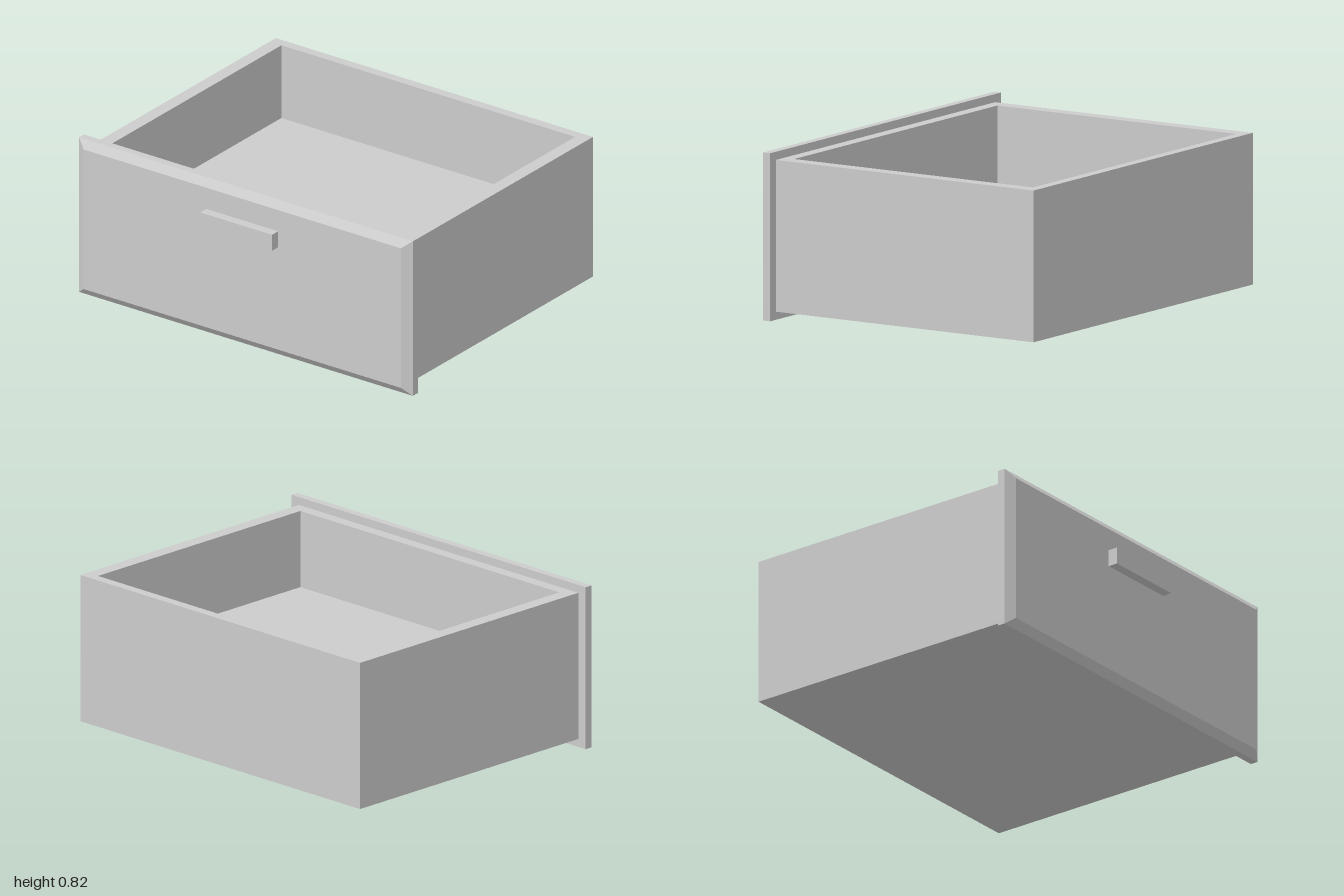
import * as THREE from 'three';

const material = new THREE.MeshStandardMaterial({ color: 0xcccccc, flatShading: true });

function addPart(group, name, geometry) {
  const mesh = new THREE.Mesh(geometry, material);
  mesh.name = name;
  group.add(mesh);
}

// Box given by its lower and upper limits on each axis
function boxBetween([x0, y0, z0], [x1, y1, z1], depthSegments = 1) {
  return new THREE.BoxGeometry(x1 - x0, y1 - y0, z1 - z0, 1, 1, depthSegments)
    .translate((x0 + x1) / 2, (y0 + y1) / 2, (z0 + z1) / 2);
}

// Rectangle in plan, with z pointing down the shape's y axis
function rectangle(path, x, zBack, zFront) {
  path.moveTo(-x, -zFront);
  path.lineTo(x, -zFront);
  path.lineTo(x, -zBack);
  path.lineTo(-x, -zBack);
  path.closePath();
  return path;
}

// Four walls as one frame, extruded upward
function wallGeometry(bottom, top) {
  const outline = rectangle(new THREE.Shape(), 0.95, -0.81, 0.69);
  outline.holes.push(rectangle(new THREE.Path(), 0.88, -0.76, 0.63));
  return new THREE.ExtrudeGeometry(outline, { depth: top - bottom, bevelEnabled: false })
    .rotateX(-Math.PI / 2)
    .translate(0, bottom, 0);
}

// Front panel: a slab whose front edges are chamfered on all four sides
function panelGeometry() {
  const back = 0.69, shoulder = 0.73, front = 0.76, height = 0.825;
  const geometry = boxBetween([-1, 0, back], [1, height, front], 2);
  const p = geometry.attributes.position;
  for (let i = 0; i < p.count; i++) {
    const z = p.getZ(i);
    if (z > front - 0.01) {
      p.setX(i, Math.sign(p.getX(i)) * 0.95);
      p.setY(i, p.getY(i) > height / 2 ? height - 0.04 : 0.04);
    } else if (z > back + 0.01) {
      p.setZ(i, shoulder);
    }
  }
  const faceted = geometry.toNonIndexed();
  faceted.computeVertexNormals();
  return faceted;
}

export function createModel() {
  const drawer = new THREE.Group();
  drawer.name = 'drawer';

  addPart(drawer, 'walls', wallGeometry(0.04, 0.785));
  // Thick floor filling the lower part of the frame
  addPart(drawer, 'floor', boxBetween([-0.88, 0.04, -0.76], [0.88, 0.397, 0.63]));
  addPart(drawer, 'frontPanel', panelGeometry());
  addPart(drawer, 'handle', boxBetween([-0.215, 0.587, 0.76], [0.215, 0.672, 0.81]));

  return drawer;
}
